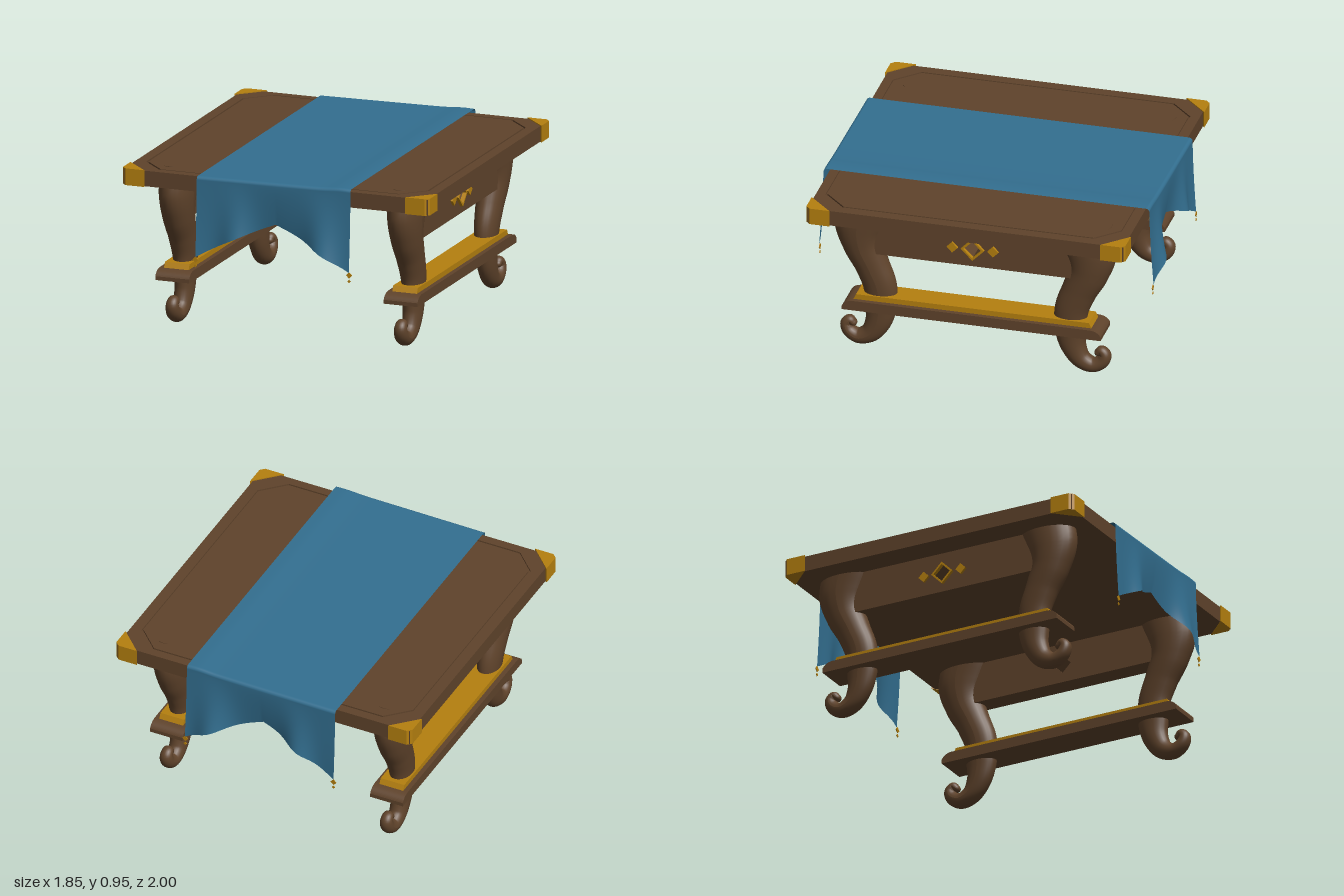
import * as THREE from 'three';
import { ParametricGeometry } from 'three/addons/geometries/ParametricGeometry.js';

const wood = new THREE.MeshStandardMaterial({ color: 0x5f432b });
const gold = new THREE.MeshStandardMaterial({ color: 0xb5800f });
const fabric = new THREE.MeshStandardMaterial({ color: 0x336f90, side: THREE.DoubleSide });

const SIDE_X = 0.6875; // centre line of each leg frame
const CLOTH_W = 0.463; // half width of the runner

function add(parent, name, geometry, material) {
  const mesh = new THREE.Mesh(geometry, material);
  mesh.name = name;
  parent.add(mesh);
  return mesh;
}

const points = (list) => list.map(([x, y]) => new THREE.Vector2(x, y));
const polygon = (list) => new THREE.Shape(points(list));
const diamond = (x, y, r) => [[x + r, y], [x, y + r], [x - r, y], [x, y - r]];
const octagon = (x, z, c) => [
  [x, z - c], [x - c, z], [c - x, z], [-x, z - c],
  [-x, c - z], [c - x, -z], [x - c, -z], [x, c - z],
];

function extrude(shape, depth) {
  return new THREE.ExtrudeGeometry(shape, { depth, bevelEnabled: false, curveSegments: 10 });
}
// Plan outline (x, z) extruded between two heights
function plate(shape, y0, y1) {
  return extrude(shape, y1 - y0).rotateX(Math.PI / 2).translate(0, y1, 0);
}
// Side outline (z, y) extruded between two x positions
function sidePlate(shape, x0, x1) {
  return extrude(shape, x1 - x0).rotateY(Math.PI / 2).translate(x0, 0, 0);
}

// Elliptical sections swept along a curved path; rows are [z, y, radius in plane, radius in x]
function legGeometry() {
  const rows = [
    [0.63, 0.885, 0.165, 0.102], [0.667, 0.75, 0.152, 0.098], [0.655, 0.63, 0.118, 0.089],
    [0.6, 0.5, 0.1, 0.077], [0.556, 0.38, 0.097, 0.068], [0.55, 0.25, 0.092, 0.059],
    [0.566, 0.15, 0.075, 0.054], [0.612, 0.073, 0.058, 0.049], [0.68, 0.045, 0.045, 0.046],
    [0.735, 0.074, 0.039, 0.042], [0.75, 0.115, 0.034, 0.037], [0.729, 0.139, 0.028, 0.032],
    [0.71, 0.125, 0.022, 0.027],
  ];
  const path = new THREE.CatmullRomCurve3(rows.map(([z, y]) => new THREE.Vector3(0, y, z)));
  const radii = new THREE.CatmullRomCurve3(rows.map(([, , r, w]) => new THREE.Vector3(r, w, 0)));
  const steps = 72, sides = 24, cap = 5;
  const position = [], index = [];
  const ring = (c, tan, r, w) => {
    for (let j = 0; j <= sides; j++) {
      const a = (j / sides) * Math.PI * 2;
      const k = Math.sin(a) * r;
      position.push(Math.cos(a) * w, c.y - tan.z * k, c.z + tan.y * k);
    }
  };
  for (let i = 0; i <= steps; i++) {
    const t = i / steps, r = radii.getPoint(t);
    ring(path.getPoint(t), path.getTangent(t), r.x, r.y);
  }
  // Rounded tip of the scroll
  const end = path.getPoint(1), tan = path.getTangent(1), tip = radii.getPoint(1);
  for (let i = 1; i <= cap; i++) {
    const a = (i / cap) * Math.PI / 2, s = Math.max(Math.cos(a), 0.001);
    ring(end.clone().addScaledVector(tan, Math.sin(a) * tip.x), tan, tip.x * s, tip.y * s);
  }
  const row = sides + 1;
  for (let i = 0; i < steps + cap; i++) {
    for (let j = 0; j < sides; j++) {
      const a = i * row + j, b = a + row;
      index.push(a, a + 1, b, a + 1, b + 1, b);
    }
  }
  const g = new THREE.BufferGeometry();
  g.setAttribute('position', new THREE.Float32BufferAttribute(position, 3));
  g.setIndex(index);
  // Make sure the faces look outward
  const p = (n) => new THREE.Vector3().fromArray(position, n * 3);
  const base = 20 * row, centre = path.getPoint(20 / steps);
  const normal = p(base + 1).sub(p(base)).cross(p(base + row).sub(p(base)));
  if (normal.dot(p(base).sub(centre)) < 0) g.setIndex(index.slice().reverse());
  g.computeVertexNormals();
  return g;
}

// Runner lying over the top and hanging at both ends with a notched, rippled hem
const clothTop = (x) => 0.937 + 0.012 * x + 0.006 * Math.exp(-(((x - 0.4) / 0.08) ** 2));
const bump = (x, c, w) => Math.exp(-(((x - c) / w) ** 2));
function clothPoint(u, v, target) {
  const x = (u * 2 - 1) * CLOTH_W;
  const s = 1 - v * 2, a = Math.abs(s), top = clothTop(x), e = Math.abs(x) / CLOTH_W;
  let y, z;
  if (a < 0.4) {
    y = top;
    z = (a / 0.4) * 0.925;
  } else if (a < 0.5) {
    const q = ((a - 0.4) / 0.1) * Math.PI / 2;
    y = top - 0.02 * (1 - Math.cos(q));
    z = 0.925 + 0.02 * Math.sin(q);
  } else {
    const t = (a - 0.5) / 0.5;
    const hem = 0.47 + 0.22 * (1 - e) + 0.012 * Math.sin(e * Math.PI);
    y = THREE.MathUtils.lerp(top - 0.02, hem, t);
    const flare = -0.03 + 0.05 * e * e + 0.064 * bump(x, 0.3, 0.1) + 0.053 * bump(x, -0.23, 0.09);
    z = 0.945 + flare * t ** 1.5;
  }
  target.set(x, y, s < 0 ? -z : z);
}

// One pair of legs with apron and stretcher, on the +x side
function legFrame(leg) {
  const frame = new THREE.Group();
  for (const turn of [0, Math.PI]) {
    const m = add(frame, 'scrollLeg', leg, wood);
    m.position.x = SIDE_X;
    m.rotation.y = turn;
  }

  const apron = polygon([[-0.62, 0.6], [0.62, 0.6], [0.62, 0.84], [-0.62, 0.84]]);
  apron.holes.push(new THREE.Path(points(diamond(0, 0.71, 0.053))));
  add(frame, 'apron', sidePlate(apron, SIDE_X - 0.06, SIDE_X + 0.06), wood);

  const rim = polygon(diamond(0, 0.71, 0.067));
  rim.holes.push(new THREE.Path(points(diamond(0, 0.71, 0.052))));
  add(frame, 'diamondFrame', sidePlate(rim, SIDE_X + 0.055, SIDE_X + 0.078), gold);
  for (const z of [-0.118, 0.118]) {
    add(frame, 'diamondStud', sidePlate(polygon(diamond(z, 0.71, 0.032)), SIDE_X + 0.055, SIDE_X + 0.075), gold);
  }

  const board = polygon([[-0.75, 0.25], [0.75, 0.25], [0.75, 0.272]]);
  board.quadraticCurveTo(0.735, 0.305, 0.69, 0.309);
  board.lineTo(-0.69, 0.309);
  board.quadraticCurveTo(-0.735, 0.305, -0.75, 0.272);
  add(frame, 'stretcher', sidePlate(board, SIDE_X - 0.102, SIDE_X + 0.102), wood);
  const trim = polygon([[-0.69, 0.308], [0.69, 0.308], [0.675, 0.34], [-0.675, 0.34]]);
  add(frame, 'stretcherTrim', sidePlate(trim, SIDE_X - 0.074, SIDE_X + 0.074), gold);
  return frame;
}

export function createModel() {
  const table = new THREE.Group();
  table.name = 'table';

  // Top slab, with a narrow groove between border and centre panel
  const slab = new THREE.BoxGeometry(1.83, 0.081, 1.83).translate(0, 0.8755, 0);
  add(table, 'topSlab', slab, wood);
  const border = polygon([[-0.915, -0.915], [0.915, -0.915], [0.915, 0.915], [-0.915, 0.915]]);
  border.holes.push(new THREE.Path(points(octagon(0.852, 0.862, 0.13))));
  add(table, 'topBorder', plate(border, 0.916, 0.925), wood);
  add(table, 'topPanel', plate(polygon(octagon(0.842, 0.852, 0.127)), 0.916, 0.925), wood);

  // Corner caps
  const cap = plate(polygon([[0.785, 0.925], [0.9, 0.925], [0.925, 0.9], [0.925, 0.785]].reverse()), 0.833, 0.93);
  for (let i = 0; i < 4; i++) add(table, 'cornerCap', cap, gold).rotation.y = (i * Math.PI) / 2;

  // Leg frames on both sides
  const leg = legGeometry();
  ['leftFrame', 'rightFrame'].forEach((name, i) => {
    const frame = legFrame(leg);
    frame.name = name;
    frame.rotation.y = i * Math.PI;
    table.add(frame);
  });

  // Runner and its flat corner pendants
  add(table, 'runner', new ParametricGeometry(clothPoint, 60, 100), fabric);
  for (const x of [-CLOTH_W, CLOTH_W]) {
    for (const z of [-0.965, 0.965]) {
      for (const [y, r] of [[0.455, 0.018], [0.42, 0.01]]) {
        add(table, 'pendant', extrude(polygon(diamond(x, y, r)), 0.004).translate(0, 0, z - 0.002), gold);
      }
    }
  }
  return table;
}
